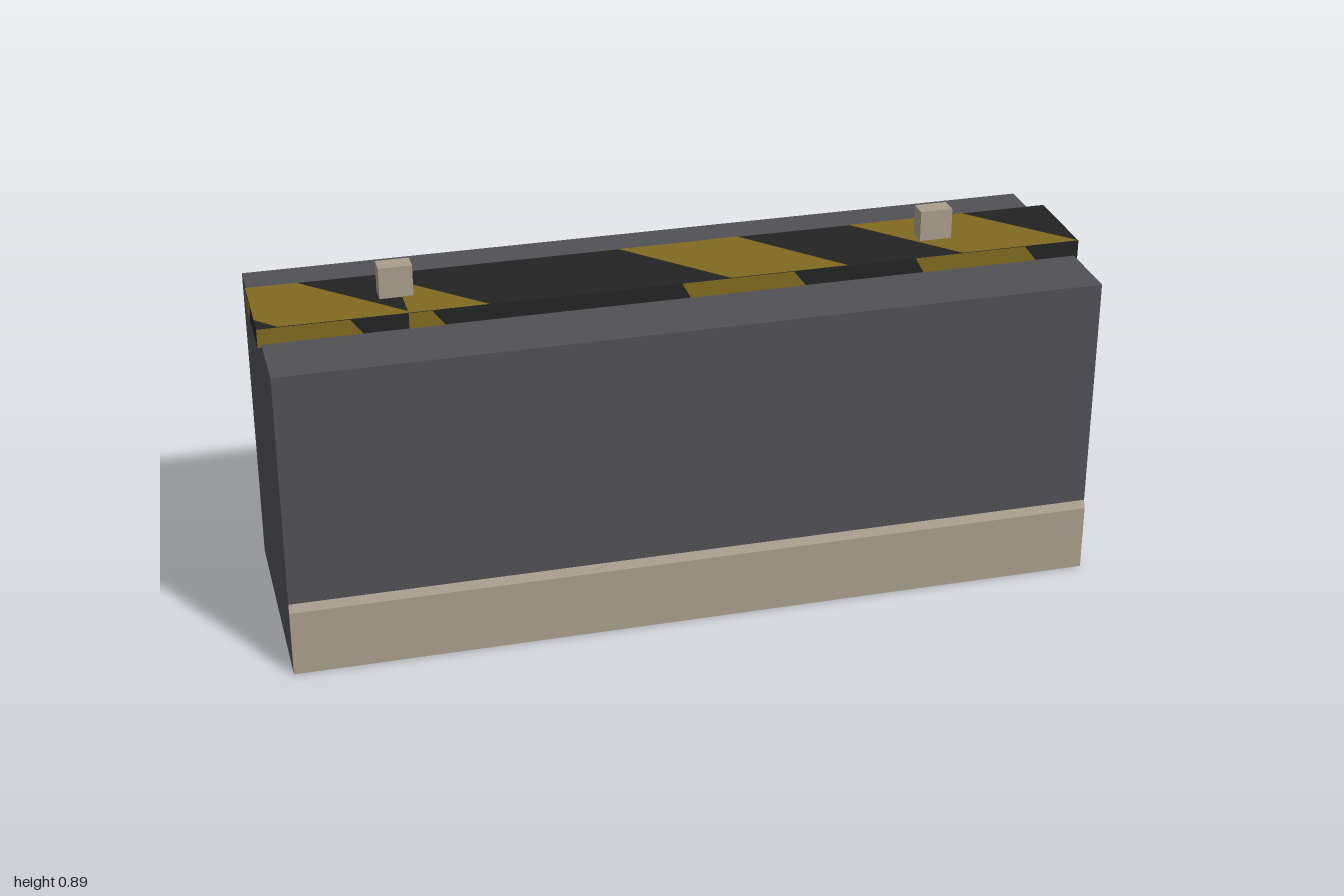
import * as THREE from 'three';

const material = (name, color) => new THREE.MeshStandardMaterial({ name, color });

export function createModel() {
  const model = new THREE.Group();
  model.name = 'barrier';
  const grey = material('darkGrey', 0x515055);
  const beige = material('beige', 0xa89d8b);
  const black = material('black', 0x232323);
  const yellow = material('yellow', 0x806a20);

  const add = (name, geometry, mat, parent = model) => {
    const mesh = new THREE.Mesh(geometry, mat);
    mesh.name = name;
    parent.add(mesh);
    return mesh;
  };
  const box = (name, mat, w, y0, y1, d, x = 0, parent = model) =>
    add(name, new THREE.BoxGeometry(w, y1 - y0, d).translate(x, (y0 + y1) / 2, 0), mat, parent);
  const polygon = (points) => new THREE.Shape(points.map(([x, y]) => new THREE.Vector2(x, y)));

  // Main block
  box('body', grey, 1.98, 0, 0.777, 0.58);

  // Skirting boards with a bevelled top edge, along both long sides
  for (const side of [1, -1]) {
    const profile = polygon([[0.289, 0.001], [0.298, 0.001], [0.298, 0.168], [0.29, 0.188], [0.289, 0.188]]);
    const geometry = new THREE.ExtrudeGeometry(profile, { depth: 1.98, bevelEnabled: false });
    geometry.translate(0, 0, -0.99).rotateY(side > 0 ? -Math.PI / 2 : Math.PI / 2);
    add(side > 0 ? 'frontSkirting' : 'backSkirting', geometry, beige);
  }

  // Hazard bar
  const bar = new THREE.Group();
  bar.name = 'hazardBar';
  model.add(bar);
  const HALF = 0.115, Y0 = 0.77, Y1 = 0.816, LIFT = 0.001;
  box('barCore', black, 1.998, Y0, Y1, HALF * 2, 0, bar);

  // Slanted stripes on the top, given as x, z corners
  const topStripes = [
    [[-0.999, -HALF], [-0.88, -HALF], [-0.65, 0.105], [-0.65, HALF], [-0.95, HALF], [-0.999, 0.065]],
    [[-0.65, -0.07], [-0.46, HALF], [-0.65, HALF]],
    [[-0.1, -HALF], [0.2, -HALF], [0.41, HALF], [0.12, HALF]],
    [[0.485, -HALF], [0.78, -HALF], [0.999, HALF], [0.7, HALF]],
  ];
  for (const points of topStripes) {
    const geometry = new THREE.ShapeGeometry(polygon(points.map(([x, z]) => [x, -z])));
    add('topStripe', geometry.rotateX(-Math.PI / 2).translate(0, Y1 + LIFT, 0), yellow, bar);
  }

  // Stripes on the long edges: x at top left, top right, bottom right, bottom left
  const edgeStripes = [
    [-0.999, -0.785, -0.75, -0.999],
    [-0.65, -0.595, -0.56, -0.65],
    [0, 0.275, 0.31, 0.025],
    [0.58, 0.86, 0.895, 0.605],
  ];
  for (const [a, b, c, d] of edgeStripes) {
    for (const side of [1, -1]) {
      const shape = polygon([[a * side, Y1], [b * side, Y1], [c * side, Y0], [d * side, Y0]]);
      const geometry = new THREE.ShapeGeometry(shape).translate(0, 0, HALF + LIFT);
      if (side < 0) geometry.rotateY(Math.PI);
      add(side > 0 ? 'frontStripe' : 'backStripe', geometry, yellow, bar);
    }
  }

  // Stripes on the short ends, covering the rear half
  for (const side of [1, -1]) {
    const shape = polygon([[0, Y1], [HALF * side, Y1], [HALF * side, Y0], [0.03 * side, Y0]]);
    const geometry = new THREE.ShapeGeometry(shape).translate(0, 0, 1);
    add('endStripe', geometry.rotateY(side * Math.PI / 2), yellow, bar);
  }

  // Two short posts on the bar
  for (const side of [1, -1]) {
    box(side > 0 ? 'leftPost' : 'rightPost', beige, 0.08, 0.8, 0.893, 0.046, side * 0.663);
  }
  return model;
}
